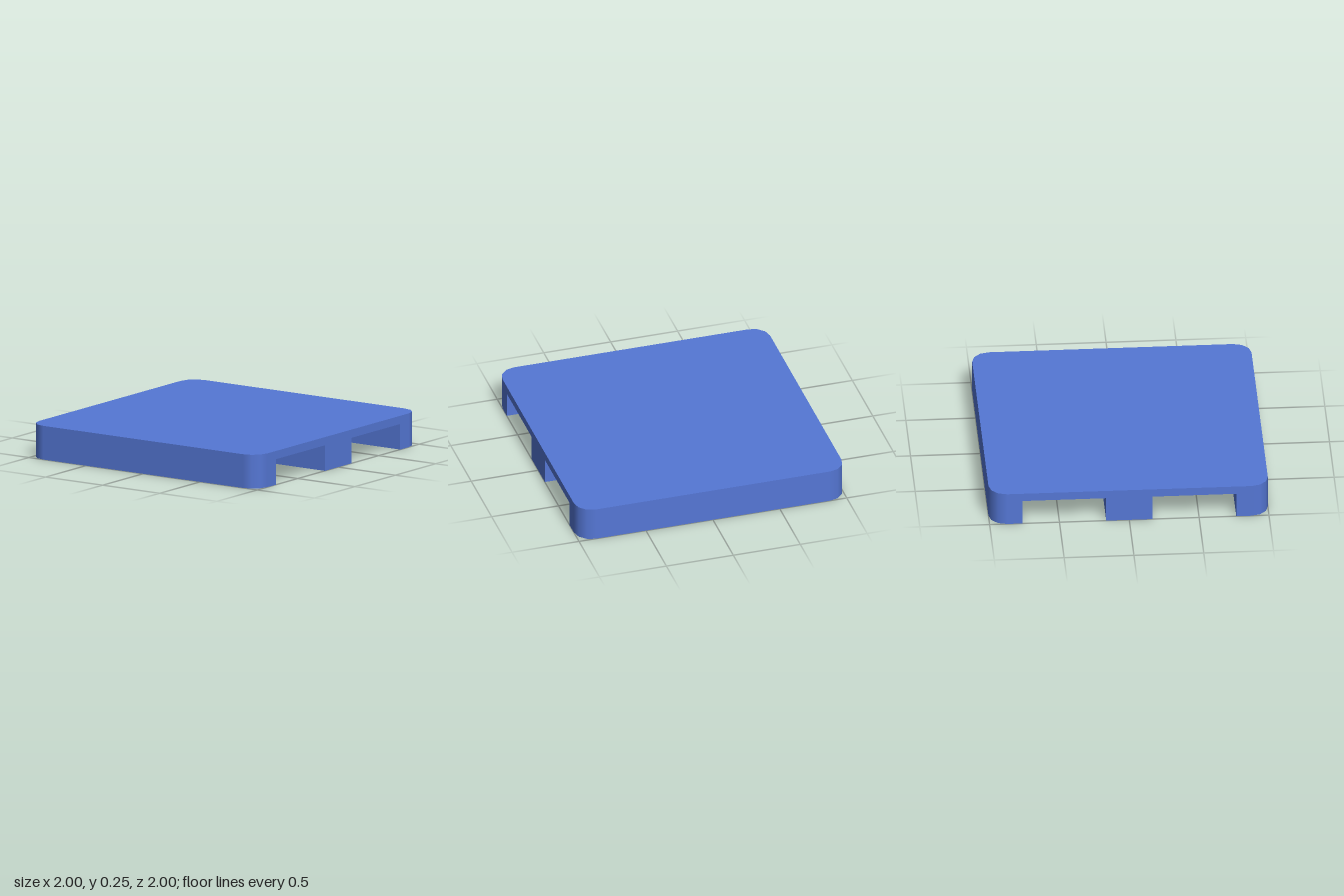
import * as THREE from 'three';

const TOP = 0.246, UNDER = 0.186;   // deck top and underside heights
const OUTER = 0.766, INNER = 0.165; // channel side walls
const RADIUS = 0.125, SEGMENTS = 3; // rounded vertical corners
const CORE = 1 - RADIUS;

// Stations along z: corner arc at the back, straight run, corner arc at the front
function makeStations() {
  const arc = [];
  for (let i = 0; i <= SEGMENTS; i++) {
    const a = (i / SEGMENTS) * Math.PI / 2;
    arc.push({ z: CORE + RADIUS * Math.cos(a), halfWidth: CORE + RADIUS * Math.sin(a) });
  }
  return [
    ...arc.map(({ z, halfWidth }) => ({ z: -z, halfWidth })),
    ...arc.slice().reverse(),
  ];
}

// Front profile: a thin deck on three runners
function makeProfile() {
  const half = [[INNER, 0], [INNER, UNDER], [OUTER, UNDER], [OUTER, 0], [1, 0], [1, TOP]];
  const mirrored = half.map(([x, y]) => [-x, y]).reverse();
  return new THREE.Shape([...half, ...mirrored].map(([x, y]) => new THREE.Vector2(x, y)));
}

function makePalletGeometry() {
  const stations = makeStations();
  const steps = stations.length - 1;
  const geometry = new THREE.ExtrudeGeometry(makeProfile(), { depth: steps, steps, bevelEnabled: false });

  // Pull the outer walls in at both ends to round the corners
  const pos = geometry.attributes.position;
  for (let i = 0; i < pos.count; i++) {
    const { z, halfWidth } = stations[Math.round(pos.getZ(i))];
    const x = pos.getX(i);
    if (Math.abs(x) > 0.99) pos.setX(i, Math.sign(x) * halfWidth);
    pos.setZ(i, z);
  }
  geometry.computeVertexNormals();

  // Smooth normals around the corners only, flat everywhere else
  const normal = geometry.attributes.normal;
  for (let i = 0; i < pos.count; i++) {
    const x = pos.getX(i), z = pos.getZ(i);
    const onCorner = Math.abs(x) > CORE - 1e-4 && Math.abs(z) > CORE - 1e-4;
    if (!onCorner || Math.abs(normal.getY(i)) > 0.5) continue;
    normal.setXYZ(i, (x - Math.sign(x) * CORE) / RADIUS, 0, (z - Math.sign(z) * CORE) / RADIUS);
  }
  return geometry;
}

export function createModel() {
  const group = new THREE.Group();
  group.name = 'pallet';
  const material = new THREE.MeshStandardMaterial({ color: 0x5577d5 });
  const body = new THREE.Mesh(makePalletGeometry(), material);
  body.name = 'deckWithRunners';
  group.add(body);
  return group;
}
